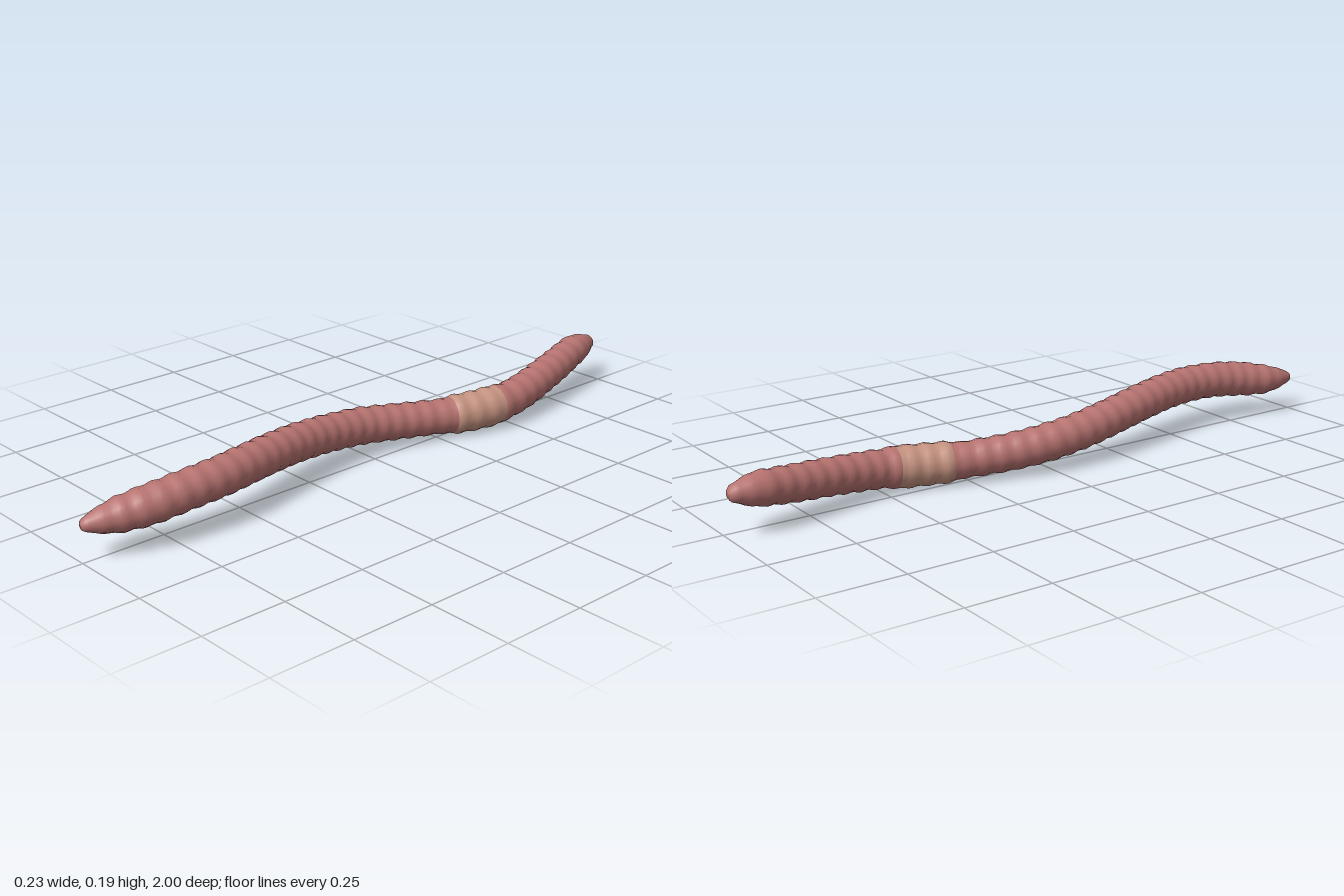
import * as THREE from 'three';

// Centre line from the pointed head (+z) to the blunt tail (-z)
const spine = new THREE.CatmullRomCurve3([
  [0, 0.11, 1], [0.015, 0.114, 0.9], [0.038, 0.126, 0.8], [0.046, 0.136, 0.7],
  [0.043, 0.139, 0.6], [0.025, 0.138, 0.5], [0, 0.133, 0.4], [-0.025, 0.125, 0.3],
  [-0.046, 0.114, 0.2], [-0.059, 0.102, 0.1], [-0.061, 0.091, 0], [-0.046, 0.08, -0.1],
  [-0.02, 0.072, -0.2], [0.01, 0.067, -0.3], [0.037, 0.068, -0.4], [0.05, 0.074, -0.5],
  [0.039, 0.084, -0.6], [0.018, 0.096, -0.7], [-0.006, 0.108, -0.8],
  [-0.03, 0.122, -0.9], [-0.045, 0.13, -1],
].map((p) => new THREE.Vector3(...p)));

// Thickness keyed by z
const girth = [
  [1, 0], [0.997, 0.013], [0.985, 0.021], [0.95, 0.034], [0.9, 0.047], [0.82, 0.054],
  [0.6, 0.055], [0, 0.055], [-0.27, 0.052], [-0.31, 0.059], [-0.45, 0.061], [-0.49, 0.055],
  [-0.8, 0.051], [-0.92, 0.047], [-0.965, 0.032], [-0.99, 0.023], [-0.998, 0.013], [-1, 0],
];
function radiusAt(z) {
  for (let i = 1; i < girth.length; i++) {
    const [z0, r0] = girth[i - 1], [z1, r1] = girth[i];
    if (z >= z1) return THREE.MathUtils.lerp(r0, r1, THREE.MathUtils.clamp((z0 - z) / (z0 - z1), 0, 1));
  }
  return 0;
}

const SIDES = 16, RINGS = 170, SEGMENTS = 38;

// One stretch of the ringed skin, between two spine parameters
function skin(t0, t1) {
  const pos = [], index = [];
  const rings = Math.max(8, Math.round(RINGS * (t1 - t0)));
  const ts = Array.from({ length: rings + 1 }, (_, i) => t0 + ((t1 - t0) * i) / rings);
  // extra rings where the ends round off
  if (t0 === 0) ts.splice(1, 0, 0.0015);
  if (t1 === 1) ts.splice(ts.length - 1, 0, 0.9985);
  for (const t of ts) {
    const c = spine.getPointAt(t), tangent = spine.getTangentAt(t);
    const side = new THREE.Vector3(0, 1, 0).cross(tangent).normalize();
    const up = tangent.clone().cross(side);
    const fade = Math.min(1, t / 0.06, (1 - t) / 0.04);
    const r = radiusAt(c.z) + 0.0022 * fade * Math.cos(t * SEGMENTS * Math.PI * 2);
    for (let j = 0; j < SIDES; j++) {
      const a = (j / SIDES) * Math.PI * 2;
      const p = c.clone().addScaledVector(side, r * Math.cos(a)).addScaledVector(up, r * Math.sin(a));
      pos.push(p.x, p.y, p.z);
    }
  }
  for (let i = 0; i < ts.length - 1; i++) {
    for (let j = 0; j < SIDES; j++) {
      const a = i * SIDES + j, b = i * SIDES + ((j + 1) % SIDES);
      index.push(a, b, a + SIDES, b, b + SIDES, a + SIDES);
    }
  }
  const g = new THREE.BufferGeometry();
  g.setAttribute('position', new THREE.Float32BufferAttribute(pos, 3));
  g.setIndex(index);
  g.computeVertexNormals();
  return g;
}

// Spine parameter at a given z
function paramAt(z) {
  let lo = 0, hi = 1;
  for (let i = 0; i < 30; i++) {
    const mid = (lo + hi) / 2;
    if (spine.getPointAt(mid).z > z) lo = mid; else hi = mid;
  }
  return lo;
}

export function createModel() {
  const group = new THREE.Group();
  group.name = 'earthworm';
  const pink = new THREE.MeshStandardMaterial({ color: 0xb87471, side: THREE.DoubleSide });
  const pale = new THREE.MeshStandardMaterial({ color: 0xc69482, side: THREE.DoubleSide });
  const bandStart = paramAt(-0.3), bandEnd = paramAt(-0.46);
  const parts = [
    ['frontBody', 0, bandStart, pink],
    ['saddleBand', bandStart, bandEnd, pale],
    ['rearBody', bandEnd, 1, pink],
  ];
  for (const [name, t0, t1, material] of parts) {
    const mesh = new THREE.Mesh(skin(t0, t1), material);
    mesh.name = name;
    group.add(mesh);
  }
  // rest the lowest point on the ground
  group.position.y = -new THREE.Box3().setFromObject(group, true).min.y;
  return group;
}
